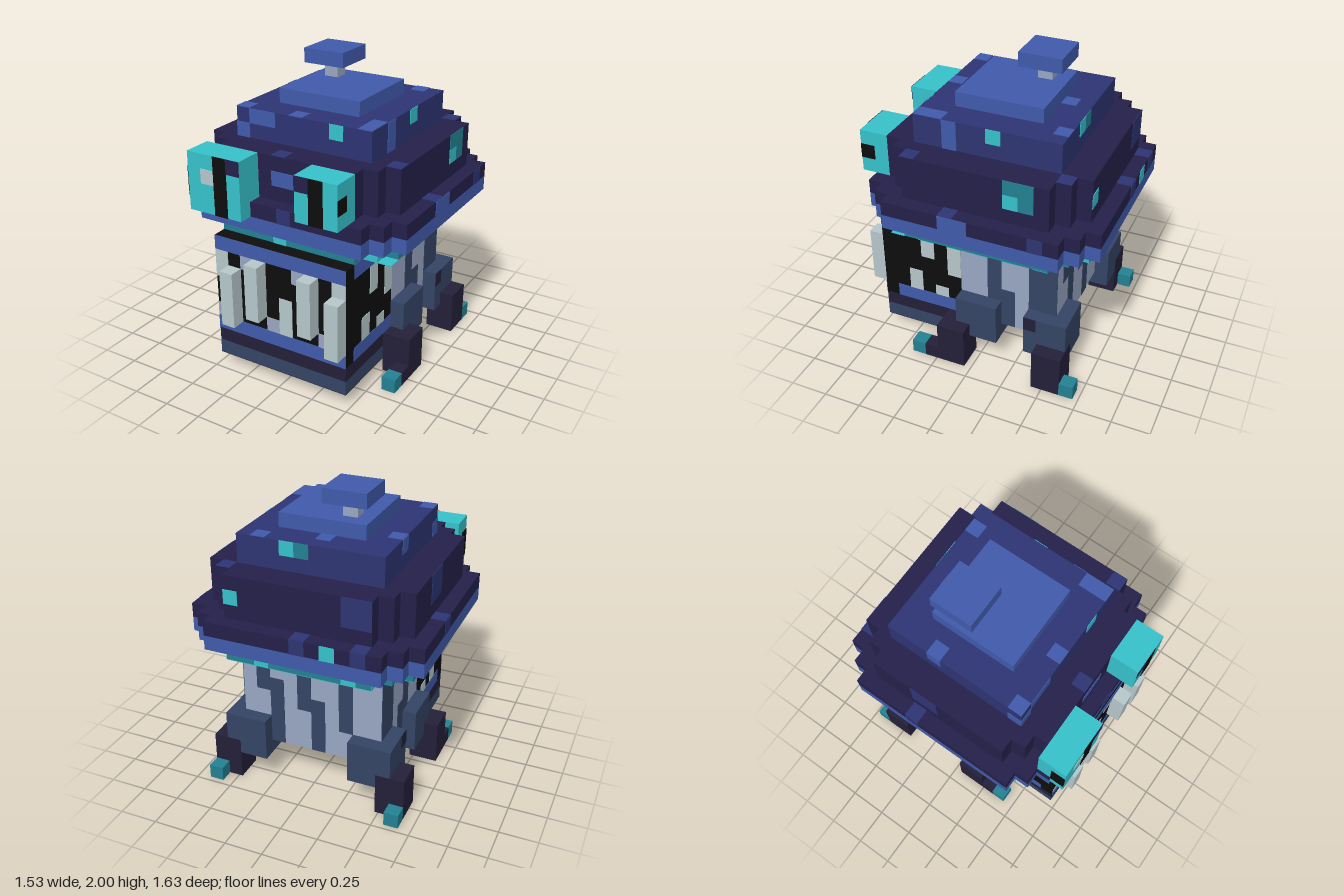
import * as THREE from 'three';

const U = 2 / 21; // one block

const mat = (name, color) => {
  const m = new THREE.MeshStandardMaterial({ color });
  m.name = name;
  return m;
};

export function createModel() {
  const root = new THREE.Group();
  root.name = 'mushroomChestCreature';
  const navy = mat('navy', 0x24204a), indigo = mat('indigo', 0x2d3472), blue = mat('blue', 0x405aab);
  const black = mat('black', 0x0d0d0d), bone = mat('bone', 0xb5c6c9), steel = mat('steel', 0x98a6c1);
  const slate = mat('slate', 0x344464), plum = mat('plum', 0x232039);
  const teal = mat('teal', 0x36c0ca), darkTeal = mat('darkTeal', 0x238091);

  // Box given by its limits in blocks
  function box(name, m, x0, x1, y0, y1, z0, z1) {
    const mesh = new THREE.Mesh(new THREE.BoxGeometry((x1 - x0) * U, (y1 - y0) * U, (z1 - z0) * U), m);
    mesh.position.set((x0 + x1) / 2 * U, (y0 + y1) / 2 * U, (z0 + z1) / 2 * U);
    mesh.name = name;
    root.add(mesh);
    return mesh;
  }

  // Thin painted plates on a face; a and b are the limits along the two other axes
  const T = 0.04;
  function paint(name, m, axis, plane, sign, patches) {
    const p0 = Math.min(plane, plane + sign * T), p1 = Math.max(plane, plane + sign * T);
    for (const [a0, a1, b0, b1] of patches) {
      if (axis === 'x') box(name, m, p0, p1, b0, b1, a0, a1); // a = z, b = y
      if (axis === 'y') box(name, m, a0, a1, p0, p1, b0, b1); // a = x, b = z
      if (axis === 'z') box(name, m, a0, a1, b0, b1, p0, p1); // a = x, b = y
    }
  }

  // Slab with two-step corners, centred on z = -0.5
  function steppedSlab(name, m, r, y0, y1) {
    const q = [[r, r - 2], [r - 1, r - 2], [r - 1, r - 1], [r - 2, r - 1], [r - 2, r]];
    const back = [...q].reverse();
    const pts = [
      ...q, ...back.map(([x, z]) => [-x, z]),
      ...q.map(([x, z]) => [-x, -z]), ...back.map(([x, z]) => [x, -z]),
    ].map(([x, z]) => new THREE.Vector2(x * U, z * U));
    const geo = new THREE.ExtrudeGeometry(new THREE.Shape(pts), { depth: (y1 - y0) * U, bevelEnabled: false });
    geo.rotateX(-Math.PI / 2);
    const mesh = new THREE.Mesh(geo, m);
    mesh.position.set(0, y0 * U, -0.5 * U);
    mesh.name = name;
    root.add(mesh);
  }

  // Cap
  steppedSlab('capGills', darkTeal, 7, 10, 11);
  steppedSlab('brimLower', blue, 8, 11, 12);
  steppedSlab('brimUpper', navy, 8, 12, 13);
  steppedSlab('capDome', navy, 7, 13, 16);
  box('capUpper', indigo, -5, 5, 16, 18, -5.5, 4.5);
  box('capTop', blue, -3, 3, 18, 19, -3.5, 2.5);
  box('knobStem', steel, -2, -1, 19, 20, -2.5, -1.5);
  box('knob', blue, -3, 0, 20, 21, -3.5, -0.5);

  // Gill stripes under the cap and bright spots around its rim
  for (let z = -7.5; z < 6; z += 2) {
    const w = z < -7 ? 5 : z < -6 || z > 5 ? 6 : 7;
    paint('gillStripe', teal, 'y', 10, -1, [[-w, w, z, z + 1]]);
  }
  paint('gillSpot', teal, 'z', 6.5, 1, [[-1, 0, 10, 11]]);
  paint('gillSpot', teal, 'z', 4.5, 1, [[-7, -6, 10, 11]]);
  paint('gillSpot', teal, 'z', 5.5, 1, [[5, 6, 10, 11]]);
  paint('gillSpot', teal, 'z', -7.5, -1, [[-4, -3, 10, 11], [2, 3, 10, 11]]);
  for (const s of [1, -1]) {
    paint('gillSpot', teal, 'x', 6 * s, s, [[4.5, 5.5, 10, 11]]);
    paint('gillSpot', teal, 'x', 5 * s, s, [[-7.5, -6.5, 10, 11]]);
  }

  // Cap spots
  paint('brimSpot', indigo, 'y', 13, 1, [[-5, -4, -8.5, -7.5], [-1, 0, -8.5, -7.5], [-8, -7, -2.5, -1.5], [7, 8, 0.5, 1.5]]);
  paint('brimSpot', indigo, 'z', 7.5, 1, [[0, 1, 12, 13]]);
  paint('brimSpot', indigo, 'z', -8.5, -1, [[-1, 0, 12, 13], [-5, -4, 12, 13]]);
  paint('brimSpot', teal, 'z', -8.5, -1, [[-3, -2, 12, 13]]);
  paint('brimSpot', blue, 'x', 8, 1, [[-0.5, 1.5, 12, 13]]);
  paint('brimSpot', indigo, 'x', 8, 1, [[-5.5, -4.5, 12, 13]]);
  paint('brimSpot', indigo, 'x', -8, -1, [[-2.5, -1.5, 12, 13]]);
  paint('domeSpot', indigo, 'y', 16, 1, [[5, 6, -6.5, -5.5], [6, 7, 3.5, 4.5], [-1, 0, 5.5, 6.5]]);
  paint('domeSpot', blue, 'z', 6.5, 1, [[-1, 1, 14, 15]]);
  paint('domeSpot', indigo, 'z', -7.5, -1, [[-5, -3, 14, 16]]);
  paint('domeSpot', teal, 'z', -7.5, -1, [[4, 5, 14, 15]]);
  paint('domeSpot', darkTeal, 'x', 7, 1, [[-4.5, -3.5, 14, 16], [-3.5, -2.5, 15, 16]]);
  paint('domeSpot', teal, 'x', 7, 1, [[-3.5, -2.5, 14, 15]]);
  paint('domeSpot', indigo, 'x', -7, -1, [[-2.5, -0.5, 14, 16]]);
  paint('upperSpot', blue, 'y', 18, 1, [[3, 4, -5.5, -4.5], [-1, 0, -4.5, -3.5], [-5, -4, -2.5, -1.5],
    [-5, -4, 3.5, 4.5], [-1, 0, 3.5, 4.5], [4, 5, 2.5, 4.5]]);
  paint('upperSpot', blue, 'z', 4.5, 1, [[-4, -2, 17, 18], [-5, -4, 16, 17]]);
  paint('upperSpot', teal, 'z', 4.5, 1, [[2, 3, 17, 18]]);
  paint('upperSpot', teal, 'z', -5.5, -1, [[1, 2, 17, 18]]);
  paint('upperSpot', darkTeal, 'z', -5.5, -1, [[0, 1, 17, 18]]);
  paint('upperSpot', blue, 'x', 5, 1, [[1.5, 2.5, 16, 18]]);
  paint('upperSpot', teal, 'x', 5, 1, [[-1.5, -0.5, 17, 18]]);
  paint('upperSpot', blue, 'x', -5, -1, [[-2.5, -1.5, 17, 18], [3.5, 4.5, 16, 17]]);

  // Mismatched eyes
  box('bigEye', teal, -6, -2, 13, 16, 6.5, 8.5);
  box('bigEyeLower', teal, -6, -2, 12, 13, 7.5, 8.5);
  paint('bigEyePupil', black, 'z', 8.5, 1, [[-4, -3, 12, 16]]);
  paint('bigEyeGlint', bone, 'z', 8.5, 1, [[-5, -4, 14, 15]]);
  paint('bigEyeLid', navy, 'z', 8.5, 1, [[-3, -2, 15, 16]]);
  paint('bigEyeMark', black, 'x', -6, -1, [[7.5, 8.5, 13, 15]]);
  box('smallEye', teal, 2, 5, 13, 16, 6.5, 8.5);
  paint('smallEyePupil', black, 'z', 8.5, 1, [[3, 4, 13, 16]]);
  paint('smallEyeLid', navy, 'z', 8.5, 1, [[2, 3, 15, 16]]);
  paint('smallEyeMark', black, 'x', 5, 1, [[7.5, 8.5, 14, 15]]);

  // Mouth block with lips, teeth and painted fangs
  box('mouth', black, -5, 5, 3, 10, 1.5, 7.5);
  paint('lip', blue, 'z', 7.5, 1, [[-5, 5, 9, 10], [-5, 5, 3, 4]]);
  paint('paintedTooth', bone, 'z', 7.5, 1, [[-5, -4, 7, 9], [0, 1, 4, 6.7], [4, 5, 8, 9]]);
  paint('paintedGum', steel, 'z', 7.5, 1, [[-5, -4, 4, 5], [-3, -2, 8, 9], [-1, 0, 4, 5], [1, 2, 8, 9], [3, 4, 4, 5]]);
  for (const [x, y] of [[-4, 4], [-2, 5], [2, 5], [4, 4]]) box('tooth', bone, x, x + 1, y, y + 4, 7.5, 8.5);

  // Body behind the mouth, with striped sides
  box('body', steel, -5, 5, 3, 10, -5.5, 1.5);
  for (const s of [1, -1]) {
    paint('sideLip', blue, 'x', 5 * s, s, [[1.5, 6.5, 9, 10], [1.5, 6.5, 3, 4]]);
    paint('sideTooth', bone, 'x', 5 * s, s, [[3.5, 4.5, 7, 9], [4.5, 5.5, 4, 5.7], [2.5, 3.5, 4, 4.8], [1.5, 2.5, 6, 9]]);
    paint('bodyStripe', slate, 'x', 5 * s, s, [[-1.5, -0.5, 5, 9], [-2.5, -1.5, 9, 10], [-2.5, -1.5, 3, 6],
      [-4.5, -3.5, 3, 9], [-5.5, -4.5, 3, 10]]);
  }
  paint('backStripe', slate, 'z', -5.5, -1, [[2, 3, 3, 8], [3, 4, 7, 9], [0, 1, 6, 10], [-1, 0, 3, 7], [-3, -2, 5, 10]]);

  // Jaw base
  box('jawTop', plum, -5, 5, 2, 3, 2.5, 7.5);
  box('jawBottom', slate, -5, 5, 1, 2, 2.5, 7.5);
  paint('jawUnderside', plum, 'y', 1, -1, [[-5, 5, 2.5, 7.5]]);

  // Legs, mirrored
  for (const s of [1, -1]) {
    const part = (name, m, x0, x1, ...r) => box(name, m, Math.min(s * x0, s * x1), Math.max(s * x0, s * x1), ...r);
    part('frontHip', slate, 3, 6, 2, 5, -1.5, 1.5);
    part('frontLeg', plum, 5, 7, 0, 3, 0.5, 2.5);
    part('frontFoot', plum, 6, 7, 0, 1, 2.5, 3.5);
    part('frontToe', teal, 6, 7, 0, 1, 3.5, 4.5).material = darkTeal;
    part('backHip', slate, 3, 6, 2, 5, -6.5, -3.5);
    part('backLeg', plum, 5, 7, 0, 3, -6.52, -4.5);
    part('backToe', darkTeal, 6, 7, 0, 1, -7.5, -6.5);
    paint('hipSpot', plum, 'x', 6 * s, s, [[-4.4, -3.5, 4, 5]]);
  }
  return root;
}
